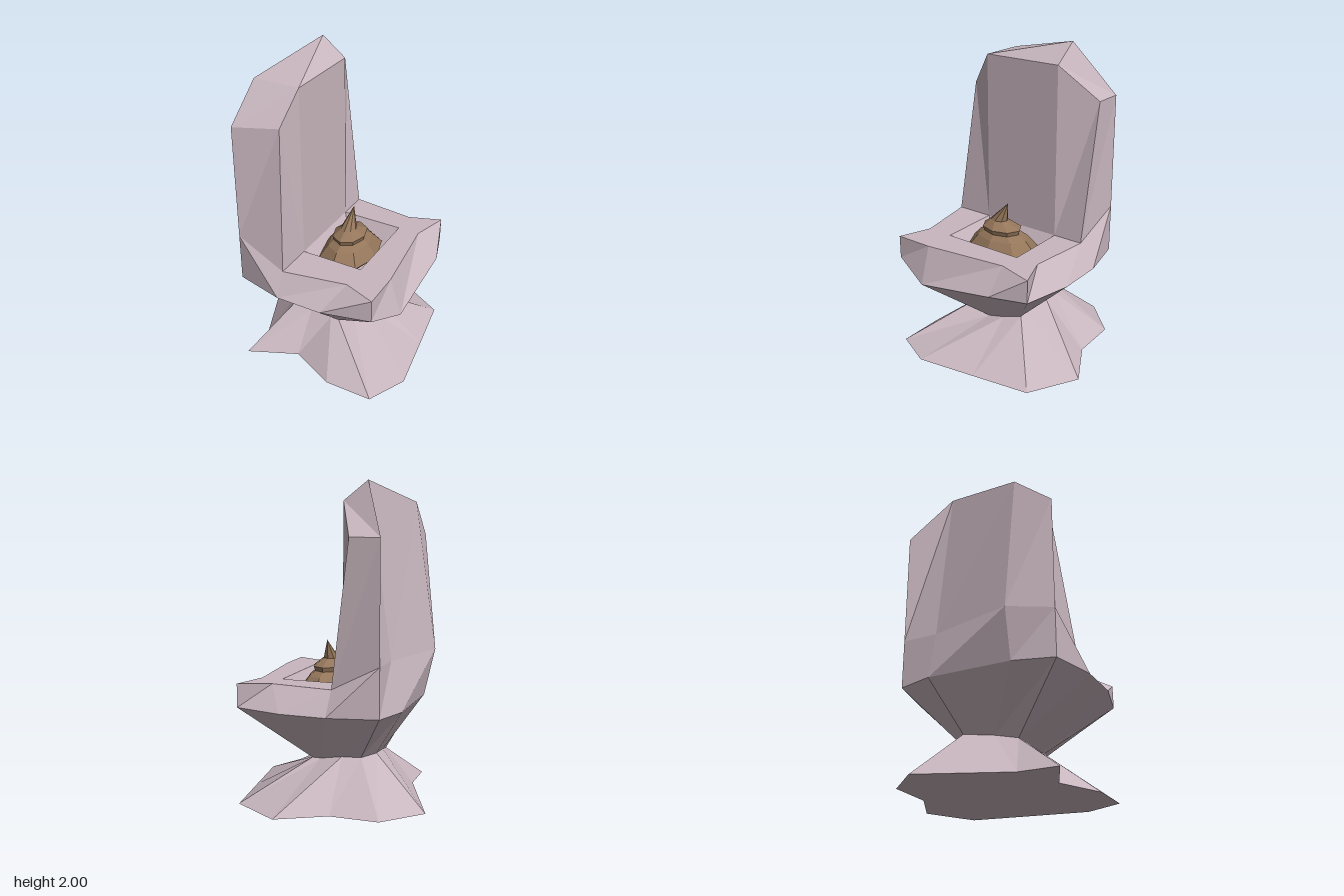
import * as THREE from 'three';

// Collects polygons given as corner lists (counter-clockwise from outside)
function makeSurface() {
  const pos = [];
  const poly = (...c) => {
    for (let i = 1; i < c.length - 1; i++) pos.push(...c[0], ...c[i], ...c[i + 1]);
  };
  // Joins two rings; quad number "turned" is split along its other diagonal
  const strip = (a, b, turned = -1) => a.forEach((p, i) => {
    const j = (i + 1) % a.length;
    if (i === turned) poly(a[j], b[j], b[i], p);
    else poly(p, a[j], b[j], b[i]);
  });
  const fan = (tip, ring) => ring.forEach((p, i) => poly(p, ring[(i + 1) % ring.length], tip));
  const mesh = (name, material) => {
    const g = new THREE.BufferGeometry();
    g.setAttribute('position', new THREE.Float32BufferAttribute(pos, 3));
    g.computeVertexNormals();
    const m = new THREE.Mesh(g, material);
    m.name = name;
    return m;
  };
  return { poly, strip, fan, mesh };
}

export function createModel() {
  const group = new THREE.Group();
  group.name = 'toilet';
  const stone = new THREE.MeshStandardMaterial({ color: 0xc8b6be, flatShading: true });
  const brown = new THREE.MeshStandardMaterial({ color: 0x94765a, flatShading: true });

  // Cross-sections, running from the back corner (-x, +z) round the seat front (+x)
  const ground = [
    [-0.41, 0, 0.56], [-0.1, 0, 0.42], [0.2, 0, 0.56], [0.51, 0, 0.56],
    [0.63, 0, 0.31], [0.57, 0, -0.08], [0.51, 0, -0.46], [0.2, 0, -0.635],
    [-0.1, 0, -0.47], [-0.41, 0, -0.46], [-0.635, 0, -0.23], [-0.41, 0, 0.31],
  ];
  const waist = [
    [-0.24, 0.25, 0.24], [-0.1, 0.25, 0.24], [0.05, 0.25, 0.24], [0.11, 0.25, 0.24],
    [0.16, 0.18, 0.11], [0.17, 0.22, -0.02], [0.14, 0.25, -0.14], [0.08, 0.25, -0.14],
    [-0.08, 0.29, -0.19], [-0.2, 0.29, -0.17], [-0.28, 0.31, -0.1], [-0.26, 0.28, 0.1],
  ];
  const rim = [
    [-0.41, 0.62, 0.56], [-0.1, 0.62, 0.635], [0.2, 0.62, 0.635], [0.51, 0.62, 0.56],
    [0.585, 0.53, 0.31], [0.585, 0.62, -0.23], [0.51, 0.62, -0.46], [0.2, 0.62, -0.53],
    [-0.1, 0.62, -0.53], [-0.41, 0.62, -0.46], [-0.48, 0.62, -0.23], [-0.48, 0.62, 0.31],
  ];
  const seat = [
    [-0.41, 0.93, 0.56], [-0.1, 0.77, 0.56], [0.305, 0.77, 0.485], [0.51, 0.77, 0.56],
    [0.51, 0.77, 0.31], [0.445, 0.77, -0.23], [0.51, 0.77, -0.46], [0.305, 0.77, -0.385],
    [-0.1, 0.77, -0.43], [-0.41, 0.93, -0.46], [-0.41, 0.93, -0.23], [-0.55, 0.93, 0.31],
  ];
  const hole = [[-0.1, 0.77, 0.31], [0.305, 0.77, 0.31], [0.305, 0.77, -0.23], [-0.1, 0.77, -0.23]];
  const basinFloor = [[0.01, 0.57, 0.19], [0.19, 0.57, 0.19], [0.19, 0.57, -0.12], [0.01, 0.57, -0.12]];

  // Flared foot
  const foot = makeSurface();
  foot.strip(ground, waist);
  foot.fan([0, 0, 0], [...ground].reverse());
  group.add(foot.mesh('foot', stone));

  // Bowl: underside, rim band, seat top and sunken basin
  const bowl = makeSurface();
  bowl.strip(waist, rim);
  bowl.strip(rim, seat, 0);
  const [, b, c, d, e, f, g, h, i] = seat;
  const [k1, l1, l2, k2] = hole;
  bowl.poly(b, c, l1, k1);
  bowl.poly(c, d, l1);
  bowl.poly(d, e, l1);
  bowl.poly(e, f, l2, l1);
  bowl.poly(f, g, l2);
  bowl.poly(g, h, l2);
  bowl.poly(h, i, k2, l2);
  bowl.strip(hole, basinFloor);
  bowl.poly(...basinFloor);
  group.add(bowl.mesh('bowl', stone));

  // Tall tank; its back corner runs straight up into the off-centre peak
  const tank = makeSurface();
  const peak = [-0.26, 2, -0.23];
  const tankBase = [seat[0], b, k1, k2, i, seat[9], seat[10], seat[11]];
  const tankTop = [
    [-0.41, 1.67, 0.56], [-0.155, 1.67, 0.45], [-0.105, 1.88, 0.31], [-0.105, 1.88, -0.23],
    [-0.22, 1.67, -0.46], [-0.41, 1.67, -0.46], peak, [-0.41, 1.88, 0.31],
  ];
  const [t0, t1, t2, t3, t4, t5, , t7] = tankTop;
  tank.strip(tankBase, tankTop, 1);
  tank.poly(t0, t1, t2, t7);
  tank.poly(t7, t2, peak);
  tank.poly(t2, t3, peak);
  tank.poly(t3, t4, t5, peak);
  group.add(tank.mesh('tank', stone));

  // Swirled pile: eight-sided oval layers [x radius, z radius, y, z centre] and a leaning tip
  const pile = makeSurface();
  const layers = [
    [0.11, 0.17, 0.61, 0.04], [0.188, 0.262, 0.69, 0.04], [0.13, 0.185, 0.77, 0.045],
    [0.095, 0.13, 0.8, 0.05], [0.105, 0.14, 0.83, 0.05], [0.05, 0.06, 0.875, 0.07],
  ].map(([rx, rz, y, z]) => Array.from({ length: 8 }, (_, n) => {
    const t = (n * Math.PI) / 4;
    return [0.09 + rx * Math.cos(t), y, z - rz * Math.sin(t)];
  }));
  for (let n = 0; n < layers.length - 1; n++) pile.strip(layers[n], layers[n + 1]);
  pile.fan([0.09, 1, 0], layers[layers.length - 1]);
  group.add(pile.mesh('pile', brown));

  return group;
}
